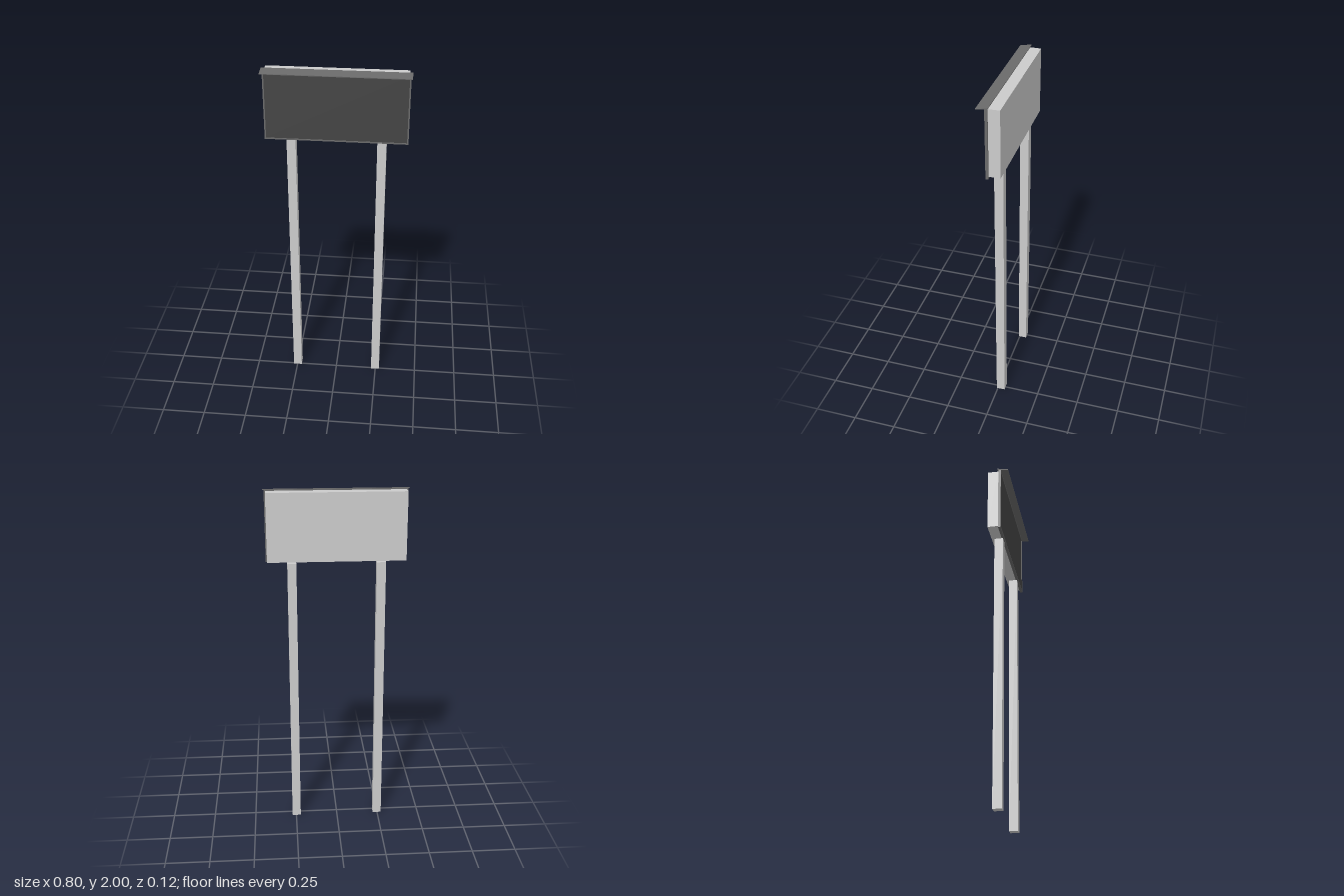
import * as THREE from 'three';

const grey = new THREE.MeshStandardMaterial({ color: 0xcccccc, flatShading: true });
const trim = new THREE.MeshStandardMaterial({ color: 0x6a6a6a, flatShading: true });
const dark = new THREE.MeshStandardMaterial({ color: 0x444444, flatShading: true });

function rect(target, x0, y0, x1, y1) {
  target.moveTo(x0, y0);
  target.lineTo(x1, y0);
  target.lineTo(x1, y1);
  target.lineTo(x0, y1);
  target.closePath();
  return target;
}

export function createModel() {
  const group = new THREE.Group();

  // Box given by its minimum and maximum corners
  function box(name, material, [x0, y0, z0], [x1, y1, z1]) {
    const mesh = new THREE.Mesh(new THREE.BoxGeometry(x1 - x0, y1 - y0, z1 - z0), material);
    mesh.position.set((x0 + x1) / 2, (y0 + y1) / 2, (z0 + z1) / 2);
    mesh.name = name;
    group.add(mesh);
  }

  // Two square posts
  for (const [name, x] of [['leftPost', 0.248], ['rightPost', -0.248]]) {
    box(name, grey, [x - 0.025, 0, -0.043], [x + 0.025, 1.597, 0.007]);
  }

  // Cabinet behind the display
  box('cabinet', grey, [-0.383, 1.61, -0.063], [0.383, 1.99, 0.002]);

  // Thin frame overhanging the cabinet, with the screen set just inside it
  const shape = rect(new THREE.Shape(), -0.391, 1.598, 0.391, 1.994);
  shape.holes.push(rect(new THREE.Path(), -0.383, 1.606, 0.383, 1.986));
  const frame = new THREE.Mesh(
    new THREE.ExtrudeGeometry(shape, { depth: 0.015, bevelEnabled: false }), trim);
  frame.name = 'frame';
  group.add(frame);
  box('screen', dark, [-0.383, 1.606, 0.002], [0.383, 1.986, 0.013]);

  // Sloping rain hood: side profile (z, y) extruded across the width
  const profile = new THREE.Shape([[0.059, 1.986], [0.059, 1.99], [-0.005, 2], [-0.005, 1.996]]
    .map(([z, y]) => new THREE.Vector2(-z, y)));
  const hood = new THREE.Mesh(
    new THREE.ExtrudeGeometry(profile, { depth: 0.796, bevelEnabled: false }), trim);
  hood.rotation.y = Math.PI / 2;
  hood.position.x = -0.398;
  hood.name = 'hood';
  group.add(hood);

  return group;
}
